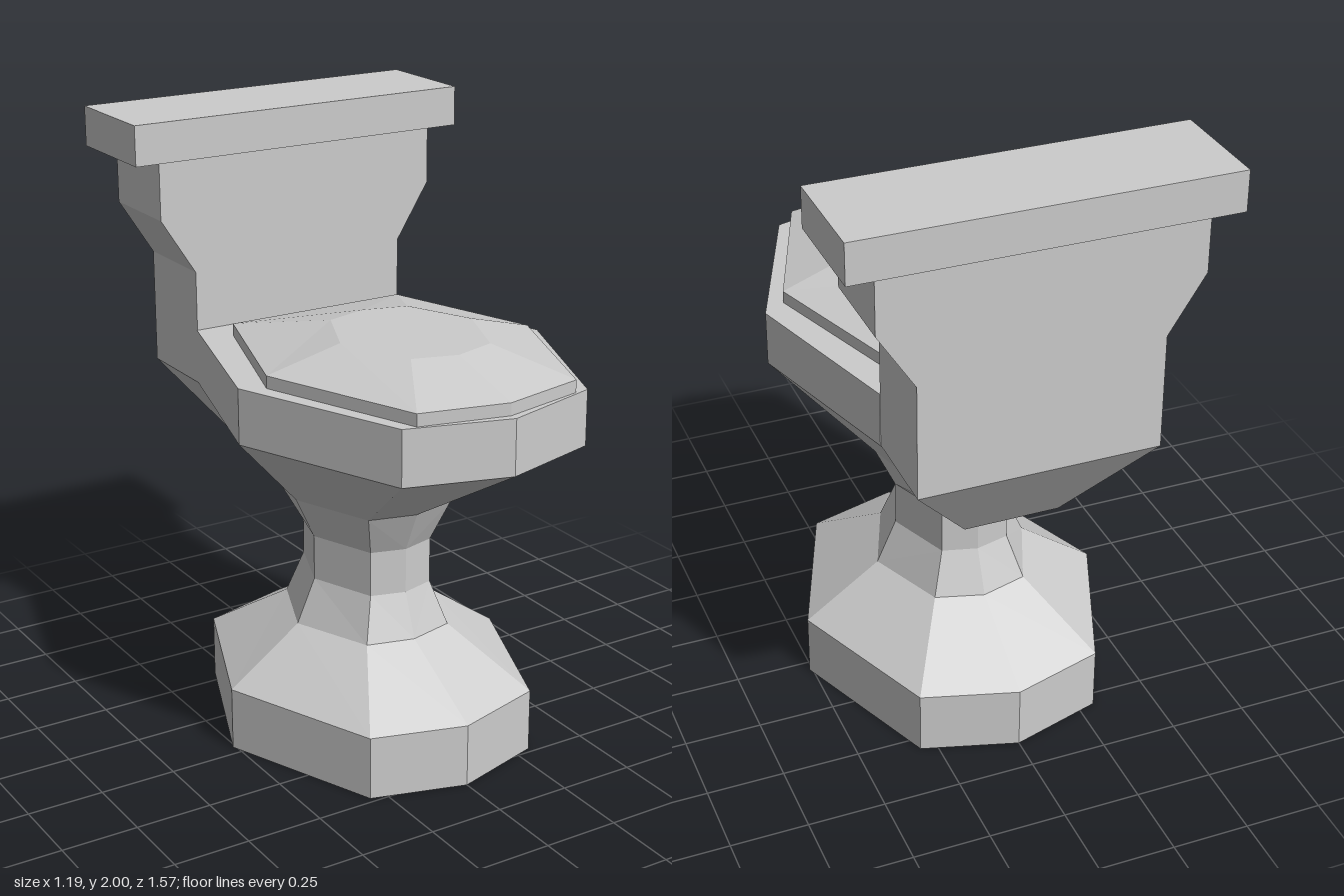
import * as THREE from 'three';

const material = new THREE.MeshStandardMaterial({ color: 0xcccccc, flatShading: true });

// Half outline [x, z] from front to back on the +x side, mirrored to a full loop
function mirrorOutline(half) {
  const other = half.filter(([x]) => x > 0).reverse().map(([x, z]) => [-x, z]);
  return [...half, ...other];
}

// Faceted solid through stacked outlines, closed at both ends
function loft(name, levels) {
  const rings = levels.map(([y, half]) =>
    mirrorOutline(half).map(([x, z]) => new THREE.Vector3(x, y, z)));
  const pos = [];
  const tri = (...pts) => pts.forEach((p) => pos.push(p.x, p.y, p.z));
  const n = rings[0].length;

  for (let r = 0; r < rings.length - 1; r++) {
    for (let i = 0; i < n; i++) {
      const j = (i + 1) % n;
      const a = rings[r][i], b = rings[r][j], c = rings[r + 1][j], d = rings[r + 1][i];
      // The diagonal is flipped on the mirrored half
      if (i < n / 2) { tri(a, b, c); tri(a, c, d); }
      else { tri(a, b, d); tri(b, c, d); }
    }
  }
  const bottom = rings[0], top = rings[rings.length - 1];
  for (let i = 1; i < n - 1; i++) {
    tri(bottom[0], bottom[i + 1], bottom[i]);
    tri(top[0], top[i], top[i + 1]);
  }

  const geometry = new THREE.BufferGeometry();
  geometry.setAttribute('position', new THREE.Float32BufferAttribute(pos, 3));
  geometry.computeVertexNormals();
  const mesh = new THREE.Mesh(geometry, material);
  mesh.name = name;
  return mesh;
}

export function createModel() {
  const group = new THREE.Group();
  group.name = 'toilet';

  // Foot, waisted pedestal and neck
  const foot = [[0, 0.57], [0.305, 0.48], [0.51, -0.04], [0.305, -0.55], [0, -0.64]];
  const shoulder = [[0, 0.26], [0.155, 0.22], [0.26, -0.04], [0.155, -0.295], [0, -0.34]];
  const neck = [[0, 0.207], [0.113, 0.175], [0.195, -0.04], [0.113, -0.25], [0, -0.28]];
  const bowlBase = [[0, 0.27], [0.155, 0.23], [0.26, -0.04], [0.155, -0.45], [0, -0.45]];
  group.add(loft('pedestal', [
    [0, foot], [0.21, foot], [0.385, shoulder], [0.53, neck], [0.68, neck], [0.82, bowlBase],
  ]));

  // Flared bowl with an upright rim
  const rim = [[0, 0.787], [0.33, 0.69], [0.553, 0.13], [0.387, -0.45], [0, -0.45]];
  group.add(loft('bowl', [[0.82, bowlBase], [1.12, rim], [1.3, rim]]));

  // Seat cover with a bevelled top
  const coverEdge = [[0, 0.76], [0.283, 0.695], [0.48, 0.175], [0.313, -0.34], [0, -0.34]];
  const coverTop = [[0, 0.49], [0.143, 0.447], [0.24, 0.205], [0.143, -0.013], [0, -0.053]];
  group.add(loft('seatCover', [[1.3, coverEdge], [1.34, coverEdge], [1.41, coverTop]]));

  // Water tank, tapering into the back of the bowl
  const tankSection = (w, back) => [[w, -0.45], [w, back]];
  group.add(loft('tank', [
    [0.82, tankSection(0.155, -0.547)],
    [1.12, tankSection(0.385, -0.755)],
    [1.495, tankSection(0.385, -0.755)],
    [1.68, tankSection(0.503, -0.755)],
    [1.87, tankSection(0.503, -0.755)],
  ]));

  // Tank lid
  const lid = new THREE.Mesh(new THREE.BoxGeometry(1.19, 0.13, 0.363), material);
  lid.name = 'tankLid';
  lid.position.set(0, 1.935, -0.606);
  group.add(lid);

  return group;
}
